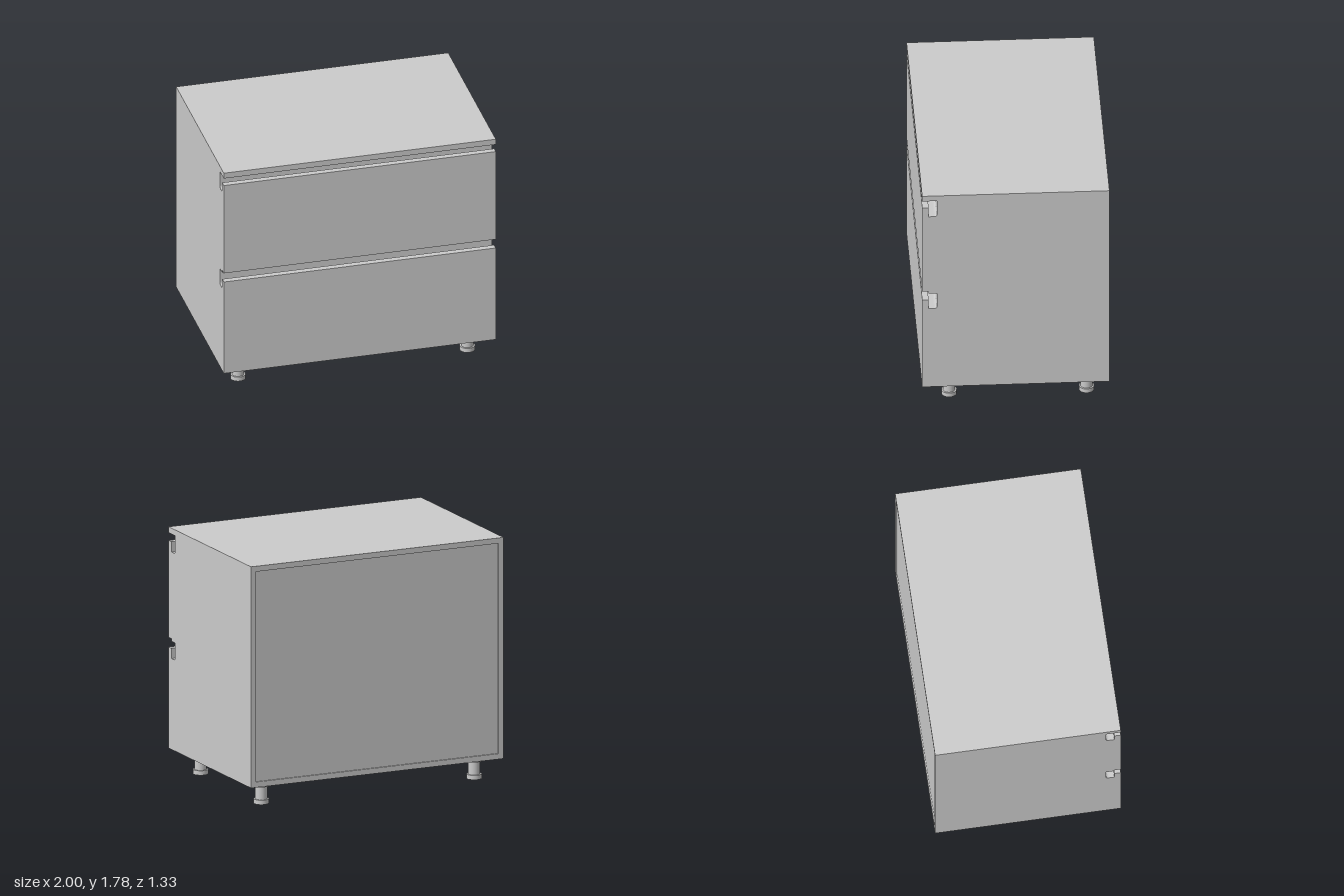
import * as THREE from 'three';

const material = new THREE.MeshStandardMaterial({ color: 0xcccccc });
const WIDTH = 2, FRONT = 0.667, BACK = -0.667, BOTTOM = 0.16, TOP = 1.78;
const RECESS = 0.01, FRAME = 0.04;          // shallow inset of the back panel
const PANEL_BACK = 0.621, CHANNEL = 0.56;   // depths of drawer fronts and grip channels

function add(parent, name, geometry, x = 0, y = 0, z = 0) {
  const mesh = new THREE.Mesh(geometry, material);
  mesh.name = name;
  mesh.position.set(x, y, z);
  parent.add(mesh);
  return mesh;
}

// Cuts a grip channel with a rounded inner corner into the side profile, going up
function gripChannel(shape, floor, ceiling) {
  const r = 0.022;
  shape.lineTo(PANEL_BACK, floor);
  shape.lineTo(CHANNEL + r, floor);
  shape.quadraticCurveTo(CHANNEL, floor, CHANNEL, floor + r);
  shape.lineTo(CHANNEL, ceiling);
  shape.lineTo(PANEL_BACK, ceiling);
}

function carcass() {
  // Side profile in (z, y), swept across the width
  const s = new THREE.Shape();
  s.moveTo(BACK + RECESS, BOTTOM);
  s.lineTo(PANEL_BACK, BOTTOM);
  gripChannel(s, 0.825, 0.952);
  gripChannel(s, 1.605, 1.737);
  s.lineTo(FRONT, 1.737);
  s.lineTo(FRONT, TOP);
  s.lineTo(BACK + RECESS, TOP);
  s.closePath();
  const g = new THREE.ExtrudeGeometry(s, { depth: WIDTH, bevelEnabled: false, curveSegments: 5 });
  g.rotateY(-Math.PI / 2);                  // profile z -> x axis, sweep -> -x
  g.scale(-1, 1, 1);                        // placeholder orientation fixed below
  g.scale(-1, 1, 1);
  g.translate(WIDTH / 2, 0, 0);
  return g;
}

function backFrame() {
  const rect = (path, inset) => {
    const x = WIDTH / 2 - inset, y0 = BOTTOM + inset, y1 = TOP - inset;
    path.moveTo(-x, y0);
    path.lineTo(x, y0);
    path.lineTo(x, y1);
    path.lineTo(-x, y1);
    path.closePath();
    return path;
  };
  const s = rect(new THREE.Shape(), 0);
  s.holes.push(rect(new THREE.Path(), FRAME));
  return new THREE.ExtrudeGeometry(s, { depth: RECESS, bevelEnabled: false });
}

// Leg with a mounting flange, a slim stem and a foot
function leg(x, z) {
  const g = new THREE.Group();
  g.name = 'leg';
  const disc = (name, r, y0, y1) =>
    add(g, name, new THREE.CylinderGeometry(r, r, y1 - y0, 32), 0, (y0 + y1) / 2, 0);
  disc('foot', 0.055, 0, 0.033);
  disc('stem', 0.043, 0.033, 0.128);
  disc('flange', 0.059, 0.128, BOTTOM);
  g.position.set(x, 0, z);
  return g;
}

export function createModel() {
  const model = new THREE.Group();
  model.name = 'drawerCabinet';

  add(model, 'carcass', carcass());
  add(model, 'backFrame', backFrame(), 0, 0, BACK);

  // Drawer fronts
  const fronts = [['lowerDrawerFront', BOTTOM, 0.9], ['upperDrawerFront', 0.97, 1.68]];
  for (const [name, y0, y1] of fronts) {
    const g = new THREE.BoxGeometry(WIDTH, y1 - y0, FRONT - PANEL_BACK);
    add(model, name, g, 0, (y0 + y1) / 2, (FRONT + PANEL_BACK) / 2);
  }

  for (const x of [-0.843, 0.843]) {
    for (const z of [0.467, -0.512]) model.add(leg(x, z));
  }
  return model;
}
